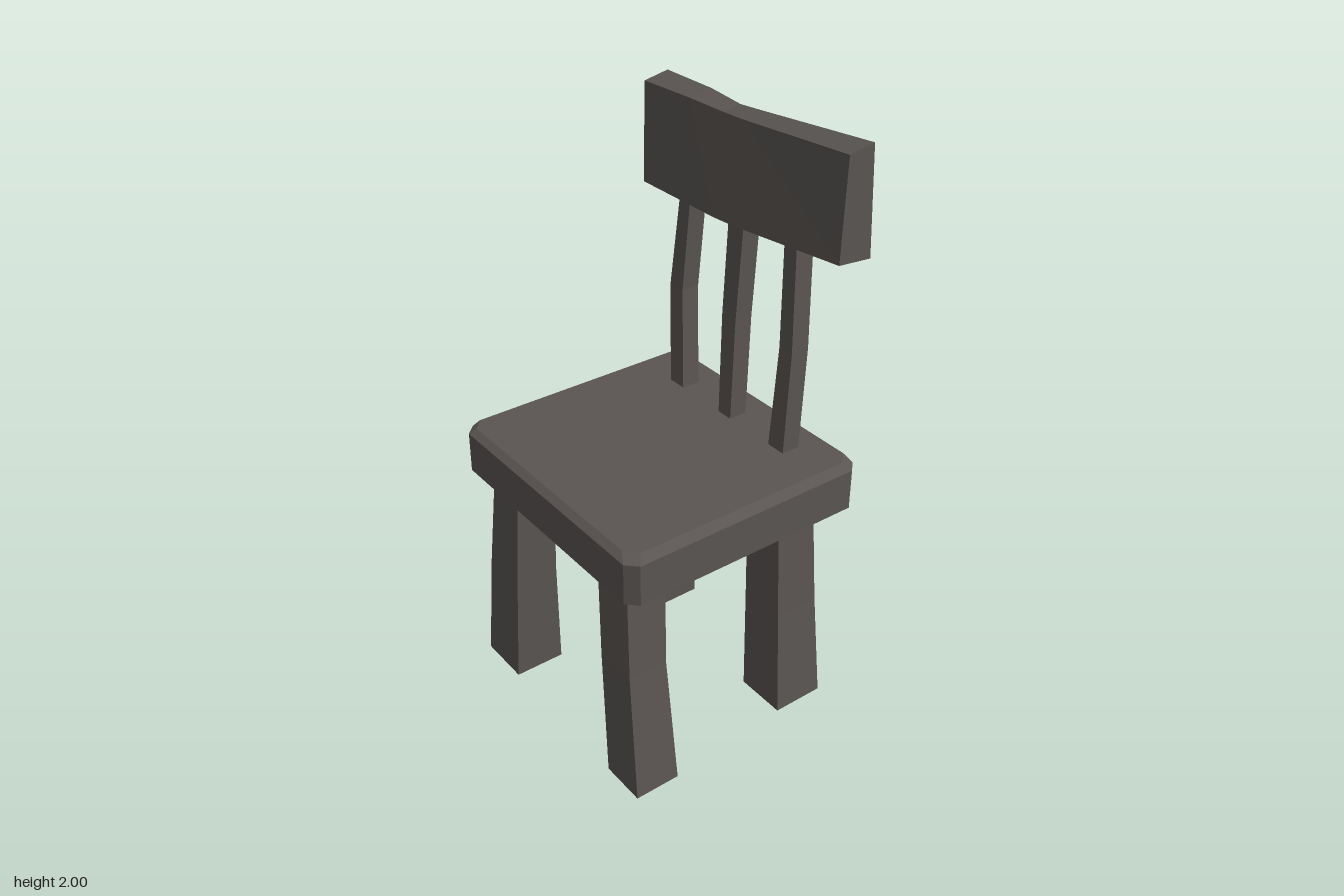
import * as THREE from 'three';

// Joins rings of corner points into a closed solid (rings run counter-clockwise seen from the far end)
function loft(rings) {
  const pos = [];
  const tri = (a, b, c) => pos.push(...a, ...b, ...c);
  const n = rings[0].length;
  for (let r = 0; r < rings.length - 1; r++) {
    for (let i = 0; i < n; i++) {
      const j = (i + 1) % n, lo = rings[r], hi = rings[r + 1];
      tri(lo[i], lo[j], hi[j]);
      tri(lo[i], hi[j], hi[i]);
    }
  }
  const first = rings[0], last = rings[rings.length - 1];
  for (let i = 1; i < n - 1; i++) {
    tri(first[0], first[i + 1], first[i]);
    tri(last[0], last[i], last[i + 1]);
  }
  const g = new THREE.BufferGeometry();
  g.setAttribute('position', new THREE.Float32BufferAttribute(pos, 3));
  g.computeVertexNormals();
  return g;
}

// Horizontal rectangle section: height, x range, z range
const rect = ([y, x0, x1, z0, z1]) => [[x1, y, z1], [x1, y, z0], [x0, y, z0], [x0, y, z1]];

// Horizontal rectangle with cut corners
const cutRect = (y, x0, x1, z0, z1, cx, cz) => [
  [x1, y, z1 - cz], [x1, y, z0 + cz], [x1 - cx, y, z0], [x0 + cx, y, z0],
  [x0, y, z0 + cz], [x0, y, z1 - cz], [x0 + cx, y, z1], [x1 - cx, y, z1],
];

export function createModel() {
  const group = new THREE.Group();
  group.name = 'chair';
  const wood = new THREE.MeshStandardMaterial({ color: 0x5a5552 });
  wood.name = 'darkWood';
  wood.flatShading = true;
  const add = (name, geometry) => {
    const mesh = new THREE.Mesh(geometry, wood);
    mesh.name = name;
    group.add(mesh);
    return mesh;
  };

  // Seat slab with cut corners and a worn upper edge at the front and left
  add('seat', loft([
    cutRect(0.795, -0.465, 0.465, -0.44, 0.44, 0.035, 0.035),
    cutRect(0.935, -0.465, 0.465, -0.44, 0.44, 0.035, 0.035),
    cutRect(0.95, -0.46, 0.43, -0.435, 0.415, 0.04, 0.035),
  ]));

  // Crooked, splayed legs
  const legs = {
    frontRightLeg: [[0, -0.46, -0.27, 0.23, 0.41], [0.4, -0.43, -0.26, 0.24, 0.395], [0.8, -0.385, -0.245, 0.24, 0.38]],
    frontLeftLeg: [[0, 0.285, 0.445, 0.25, 0.41], [0.45, 0.24, 0.39, 0.257, 0.395], [0.8, 0.21, 0.36, 0.24, 0.38]],
    backRightLeg: [[0, -0.45, -0.28, -0.385, -0.21], [0.4, -0.425, -0.27, -0.365, -0.205], [0.8, -0.4, -0.25, -0.345, -0.2]],
    backLeftLeg: [[0, 0.23, 0.41, -0.39, -0.205], [0.4, 0.22, 0.385, -0.365, -0.205], [0.8, 0.215, 0.365, -0.345, -0.2]],
  };
  for (const [name, sections] of Object.entries(legs)) add(name, loft(sections.map(rect)));

  // Apron rails framing the underside
  const rail = (name, w, d, x, z) =>
    add(name, new THREE.BoxGeometry(w, 0.12, d)).position.set(x, 0.745, z);
  rail('frontRail', 0.54, 0.06, -0.015, 0.29);
  rail('backRail', 0.54, 0.06, -0.015, -0.26);
  rail('rightRail', 0.06, 0.54, -0.31, 0.015);
  rail('leftRail', 0.06, 0.54, 0.28, 0.015);

  // Bent spindles: x ranges at foot, bend and top
  const spindles = {
    rightSpindle: [[-0.3, -0.23], [-0.325, -0.26], [-0.285, -0.235]],
    middleSpindle: [[-0.04, 0.02], [-0.053, 0.013], [-0.047, 0.025]],
    leftSpindle: [[0.21, 0.28], [0.223, 0.28], [0.207, 0.26]],
  };
  const levels = [[0.93, -0.345, -0.28], [1.3, -0.36, -0.295], [1.68, -0.372, -0.307]];
  for (const [name, xs] of Object.entries(spindles)) {
    add(name, loft(levels.map(([y, z0, z1], i) => rect([y, ...xs[i], z0, z1]))));
  }

  // Wavy back board: x, then [y, z] of bottom front, bottom back, top back, top front
  const board = [
    [-0.465, [1.615, -0.29], [1.62, -0.408], [1.965, -0.385], [1.947, -0.295]],
    [-0.24, [1.615, -0.288], [1.62, -0.405], [1.964, -0.383], [1.95, -0.3]],
    [-0.1, [1.615, -0.287], [1.622, -0.403], [1.952, -0.382], [1.942, -0.315]],
    [0, [1.62, -0.286], [1.63, -0.402], [1.96, -0.381], [1.948, -0.308]],
    [0.465, [1.665, -0.28], [1.655, -0.4], [2.0, -0.378], [1.985, -0.288]],
  ];
  add('backBoard', loft(board.map(([x, ...corners]) => corners.map(([y, z]) => [x, y, z]))));

  return group;
}
